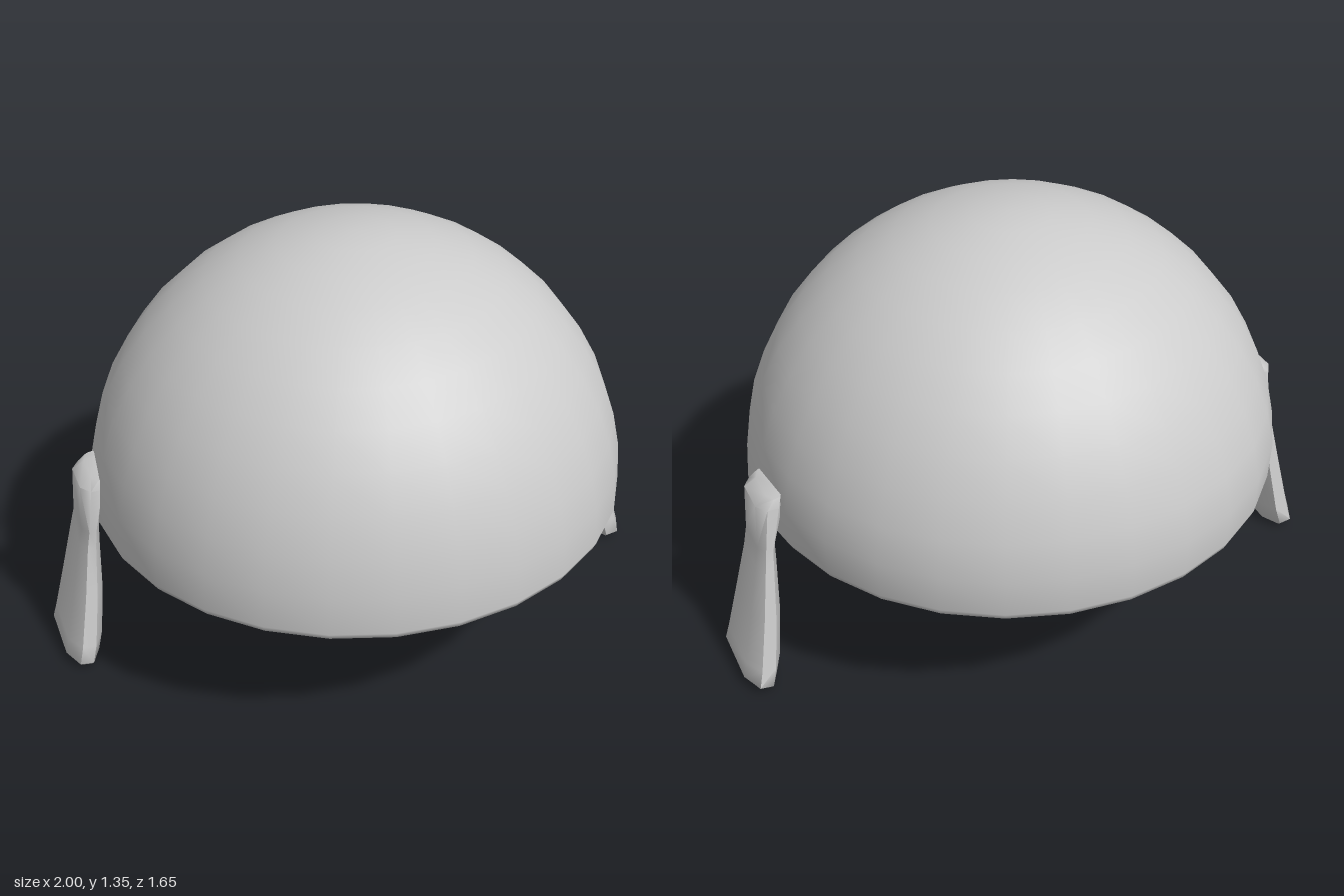
import * as THREE from 'three';
import { mergeVertices, toCreasedNormals } from 'three/addons/utils/BufferGeometryUtils.js';

const RIM_Y = 0.485;
const material = new THREE.MeshStandardMaterial({ color: 0xcccccc });

// Quarter-ellipse profile of a dome, listed from rim to crown
function domeProfile(radius, height, rows) {
  const points = [];
  for (let i = 0; i <= rows; i++) {
    const a = (i / rows) * Math.PI / 2;
    points.push(new THREE.Vector2(i === rows ? 0 : radius * Math.cos(a), RIM_Y + 0.02 + height * Math.sin(a)));
  }
  return points;
}

// Hollow shell: inner surface down, around the rim, outer surface up
function createShell() {
  const profile = [
    ...domeProfile(0.965, 0.815, 10).reverse(),
    new THREE.Vector2(0.967, RIM_Y),
    new THREE.Vector2(0.99, RIM_Y),
    ...domeProfile(1, 0.84, 11),
  ];
  let geometry = new THREE.LatheGeometry(profile, 28);
  geometry.scale(0.845, 1, 0.83);

  // Shallow tuck along the rear half of the rim
  const p = geometry.attributes.position;
  for (let i = 0; i < p.count; i++) {
    const outer = Math.hypot(p.getX(i) / 0.845, p.getZ(i) / 0.83) > 0.98;
    if (outer && p.getY(i) < 0.53 && p.getZ(i) < -0.15) {
      p.setX(i, p.getX(i) * 0.985);
      p.setZ(i, p.getZ(i) * 0.985);
    }
  }
  geometry.deleteAttribute('normal');
  geometry.deleteAttribute('uv');
  geometry = mergeVertices(geometry, 1e-4);
  geometry.computeVertexNormals();
  return new THREE.Mesh(geometry, material);
}

// Chamfered cross-section: [across thickness, across width]
const SECTION = [[0, 0.2], [0, 0.8], [0.3, 1], [0.7, 1], [1, 0.8], [1, 0.2], [0.7, 0], [0.3, 0]];

// Strap rows from top to bottom: inner y, outer y, inner x, outer x, back z, front z
const STRAP_ROWS = [
  [0.665, 0.655, 0.80, 0.85, -0.155, 0.005],
  [0.63, 0.63, 0.80, 0.887, -0.165, 0.015],
  [0.48, 0.48, 0.842, 0.897, -0.17, 0.015],
  [0.42, 0.42, 0.845, 0.91, -0.18, 0.013],
  [0.25, 0.25, 0.855, 0.947, -0.21, 0.042],
  [0.08, 0.08, 0.876, 0.985, -0.24, 0.07],
  [0.015, 0.03, 0.893, 0.998, -0.25, 0.08],
  [0.0, 0.015, 0.905, 0.99, -0.235, 0.065],
];

function createStrap(side) {
  const n = SECTION.length;
  const positions = [];
  const index = [];
  const face = (a, b, c) => index.push(...(side > 0 ? [a, b, c] : [a, c, b]));

  for (const [yIn, yOut, xIn, xOut, zBack, zFront] of STRAP_ROWS) {
    for (const [u, v] of SECTION) {
      positions.push(
        side * THREE.MathUtils.lerp(xIn, xOut, u),
        THREE.MathUtils.lerp(yIn, yOut, u),
        THREE.MathUtils.lerp(zBack, zFront, v),
      );
    }
  }
  // Side walls
  for (let r = 0; r < STRAP_ROWS.length - 1; r++) {
    for (let k = 0; k < n; k++) {
      const a = r * n + k;
      const c = r * n + (k + 1) % n;
      face(a, a + n, c);
      face(a + n, c + n, c);
    }
  }
  // End caps
  const last = (STRAP_ROWS.length - 1) * n;
  for (let k = 1; k < n - 1; k++) {
    face(0, k, k + 1);
    face(last, last + k + 1, last + k);
  }
  const geometry = new THREE.BufferGeometry();
  geometry.setAttribute('position', new THREE.Float32BufferAttribute(positions, 3));
  geometry.setIndex(index);
  return new THREE.Mesh(toCreasedNormals(geometry, THREE.MathUtils.degToRad(55)), material);
}

export function createModel() {
  const model = new THREE.Group();
  model.name = 'helmet';

  const shell = createShell();
  shell.name = 'domeShell';
  model.add(shell);

  for (const side of [1, -1]) {
    const strap = createStrap(side);
    strap.name = side > 0 ? 'leftStrap' : 'rightStrap';
    model.add(strap);
  }
  return model;
}
